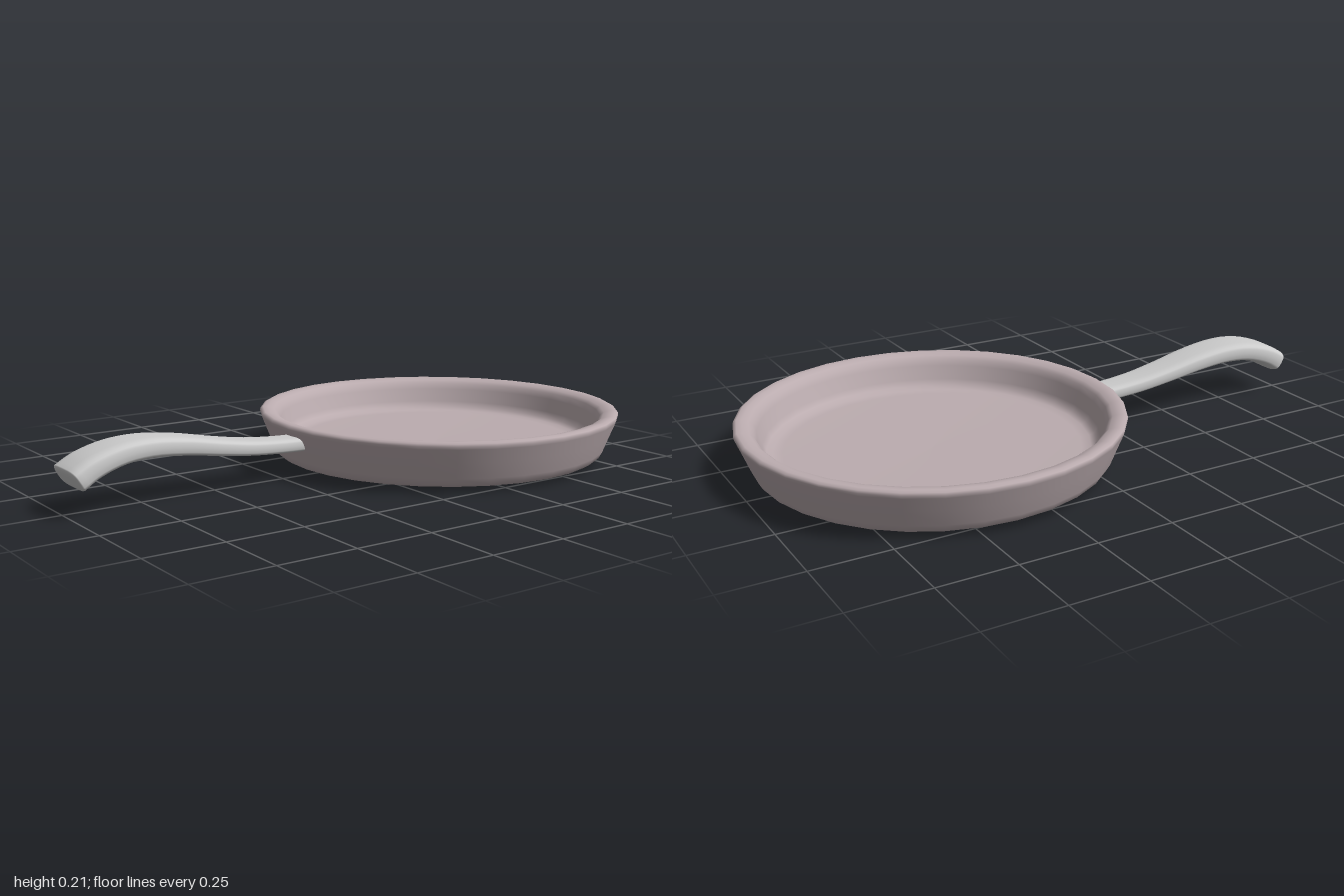
import * as THREE from 'three';

const v2 = (p) => new THREE.Vector2(p[0], p[1]);

// Round dish: one closed profile from the underside, over the rim, to the floor
function makePan() {
  const profile = [
    [0, 0.003], [0.3, 0.011], [0.525, 0.017], [0.545, 0.02], [0.56, 0.03], [0.571, 0.05],
    [0.592, 0.105], [0.61, 0.15], [0.613, 0.16], [0.611, 0.168], [0.602, 0.173],
    [0.585, 0.172], [0.565, 0.166], [0.552, 0.155], [0.543, 0.135],
    [0.528, 0.09], [0.518, 0.07], [0.5, 0.06], [0.47, 0.057], [0.25, 0.053], [0, 0.05],
  ].map(v2);
  const mesh = new THREE.Mesh(
    new THREE.LatheGeometry(profile, 32),
    new THREE.MeshStandardMaterial({ color: 0xbbacaf })
  );
  mesh.name = 'pan';
  mesh.position.x = 0.387;
  return mesh;
}

// Curved handle: rounded-rectangle sections lofted along a bent centre line
function makeHandle() {
  // x, y, z of the centre, half thickness, half width
  const stations = [
    [-0.985, 0.11, 0.016, 0.038, 0.082], [-0.93, 0.142, 0.015, 0.036, 0.081],
    [-0.84, 0.17, 0.014, 0.033, 0.077], [-0.74, 0.177, 0.012, 0.031, 0.072],
    [-0.62, 0.165, 0.009, 0.029, 0.067], [-0.5, 0.144, 0.006, 0.026, 0.062],
    [-0.38, 0.126, 0.004, 0.024, 0.057], [-0.26, 0.117, 0.003, 0.023, 0.053],
    [-0.16, 0.114, 0.002, 0.023, 0.052],
  ];
  const path = new THREE.CatmullRomCurve3(stations.map((s) => new THREE.Vector3(s[0], s[1], s[2])));
  const sizes = new THREE.CatmullRomCurve3(stations.map((s) => new THREE.Vector3(s[3], s[4], 0)));
  // t along the path and section scale inset; the first rings round off the free end
  const rings = [[0, 0.03], [0, 0.017], [0.003, 0.008], [0.008, 0.002], [0.016, 0]];
  for (let i = 1; i <= 28; i++) rings.push([0.016 + (i / 28) * 0.984, 0]);
  const sides = 24;
  const positions = [];
  const indices = [];
  const soften = (c) => Math.sign(c) * Math.pow(Math.abs(c), 0.55);
  for (const [t, inset] of rings) {
    const c = path.getPoint(t);
    const tan = path.getTangent(t);
    const size = sizes.getPoint(t);
    const h = size.x - inset;
    const w = size.y - inset;
    const up = new THREE.Vector2(-tan.y, tan.x).normalize();
    for (let j = 0; j < sides; j++) {
      const a = (j / sides) * Math.PI * 2;
      const n = soften(Math.sin(a)) * h;
      positions.push(c.x + up.x * n, c.y + up.y * n, c.z + soften(Math.cos(a)) * w);
    }
  }
  for (let i = 0; i < rings.length - 1; i++) {
    for (let j = 0; j < sides; j++) {
      const a = i * sides + j;
      const b = i * sides + ((j + 1) % sides);
      indices.push(a, a + sides, b, b, a + sides, b + sides);
    }
  }
  // End caps
  const last = (rings.length - 1) * sides;
  for (let j = 1; j < sides - 1; j++) {
    indices.push(0, j, j + 1);
    indices.push(last, last + j + 1, last + j);
  }
  const geometry = new THREE.BufferGeometry();
  geometry.setAttribute('position', new THREE.Float32BufferAttribute(positions, 3));
  geometry.setIndex(indices);
  geometry.computeVertexNormals();
  const mesh = new THREE.Mesh(geometry, new THREE.MeshStandardMaterial({ color: 0xcccccc }));
  mesh.name = 'handle';
  return mesh;
}

export function createModel() {
  const group = new THREE.Group();
  group.name = 'fryingPan';
  group.add(makePan(), makeHandle());
  return group;
}
